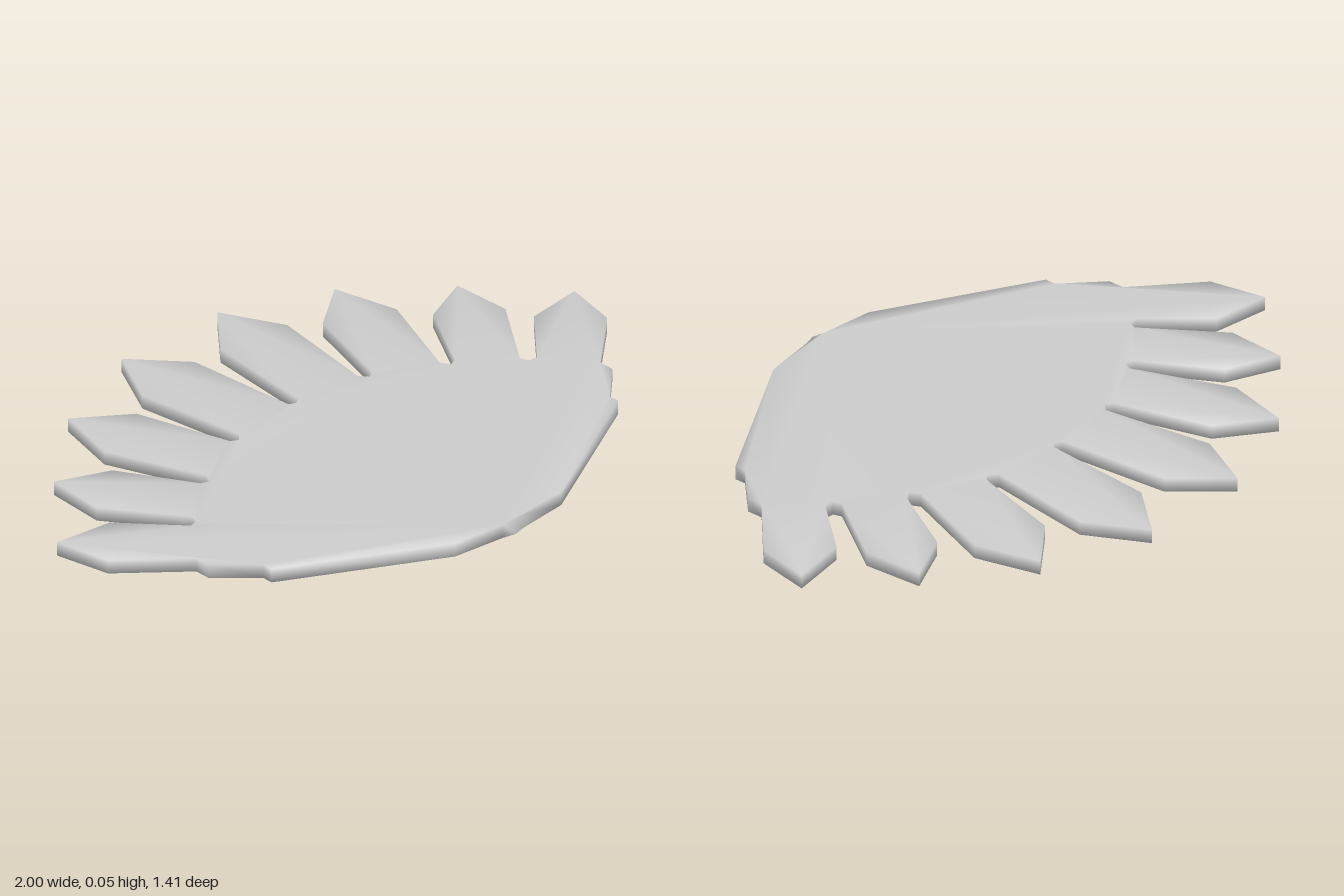
import * as THREE from 'three';
import { mergeVertices } from 'three/addons/utils/BufferGeometryUtils.js';

const THICKNESS = 0.043;
const RISE = 0.01; // the middle sits slightly higher than the side petals

// Right half of the outline as (x, z), from the rear notch round to the front point
const half = [
  [0.02, -0.2],
  [0.05, -0.55], [0.185, -0.705], [0.28, -0.52], // first petal
  [0.23, -0.18], [0.253, -0.157], [0.275, -0.17],
  [0.36, -0.46], [0.515, -0.575], [0.565, -0.375], // second petal
  [0.45, -0.08], [0.465, -0.05], [0.492, -0.062],
  [0.62, -0.285], [0.78, -0.355], [0.79, -0.17], // third petal
  [0.632, 0.055], [0.64, 0.082], [0.67, 0.085],
  [0.82, -0.085], [1, -0.11], [0.965, 0.06], // fourth petal
  [0.78, 0.225], [0.78, 0.275], [0.67, 0.38], [0.67, 0.415], // stepped side
  [0.205, 0.672], [0.04, 0.692], // front edge
];

export function createModel() {
  const group = new THREE.Group();
  group.name = 'petalFan';

  // Mirror the half outline into one closed shape
  const mirrored = half.map(([x, z]) => [-x, z]).reverse();
  const outline = [[0, -0.19], ...half, [0, 0.702], ...mirrored];
  const shape = new THREE.Shape(outline.map(([x, z]) => new THREE.Vector2(x, z)));

  // Lay the plate flat, with its top facing up
  let geometry = new THREE.ExtrudeGeometry(shape, { depth: THICKNESS, bevelEnabled: false });
  geometry.rotateX(Math.PI / 2).translate(0, THICKNESS, 0);

  // Let the plate droop gently towards both sides
  const pos = geometry.attributes.position;
  for (let i = 0; i < pos.count; i++) {
    pos.setY(i, pos.getY(i) + RISE * (1 - Math.abs(pos.getX(i))));
  }

  // Share corners between faces and rim for soft shading at the edges
  geometry.deleteAttribute('normal');
  geometry.deleteAttribute('uv');
  geometry = mergeVertices(geometry, 1e-4);
  geometry.computeVertexNormals();

  const plate = new THREE.Mesh(geometry, new THREE.MeshStandardMaterial({ color: 0xcccccc }));
  plate.name = 'petalPlate';
  group.add(plate);
  return group;
}
